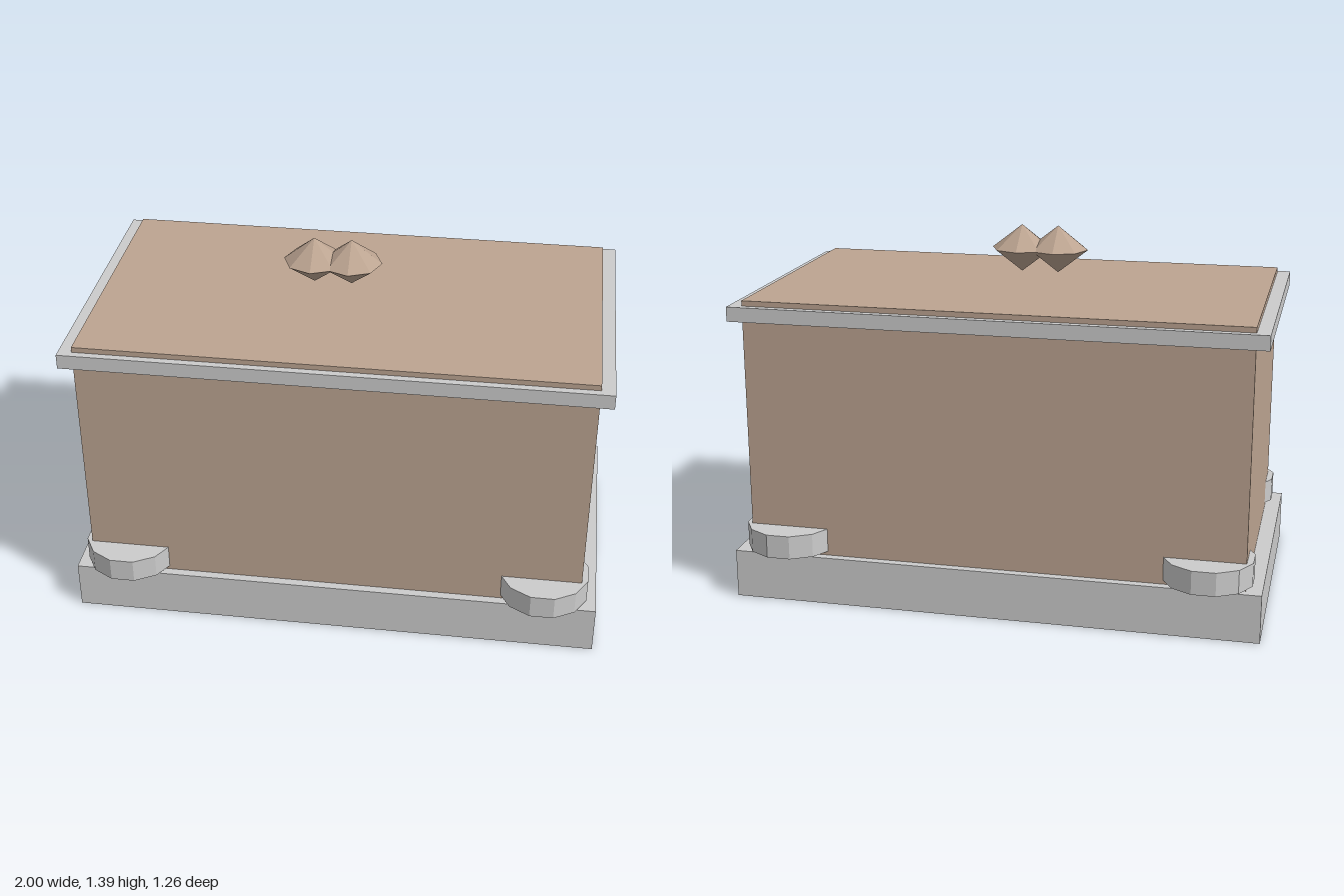
import * as THREE from 'three';

export function createModel() {
  const model = new THREE.Group();
  const grey = new THREE.MeshStandardMaterial({ color: 0xcccccc, flatShading: true });
  const brown = new THREE.MeshStandardMaterial({ color: 0xbca491, flatShading: true });

  function add(name, geometry, material, x, y, z) {
    const mesh = new THREE.Mesh(geometry, material);
    mesh.name = name;
    mesh.position.set(x, y, z);
    model.add(mesh);
    return mesh;
  }
  // Box spanning y0 to y1, centred on x and z
  const slab = (name, w, d, y0, y1, material) =>
    add(name, new THREE.BoxGeometry(w, y1 - y0, d), material, 0, (y0 + y1) / 2, 0);

  // Chest
  slab('base', 2, 1.11, 0, 0.185, grey);
  slab('body', 1.88, 1.045, 0.185, 1.16, brown);
  slab('lidRim', 1.98, 1.1, 1.085, 1.14, grey);

  // Corner discs, each on a short peg, half sunk into the body
  const disc = new THREE.CylinderGeometry(0.171, 0.171, 0.09, 12).rotateY(Math.PI / 12);
  const peg = new THREE.CylinderGeometry(0.068, 0.068, 0.06, 12);
  for (const sx of [-1, 1]) {
    for (const sz of [-1, 1]) {
      add('cornerDisc', disc, grey, sx * 0.798, 0.245, sz * 0.466);
      add('cornerPeg', peg, grey, sx * 0.873, 0.2, sz * 0.47);
    }
  }

  // Two overlapping faceted gems floating above the lid
  const gem = new THREE.SphereGeometry(0.115, 8, 2).scale(1, 0.09 / 0.115, 1);
  for (const x of [-0.14, 0]) add('gem', gem, brown, x, 1.3, 0);

  return model;
}
